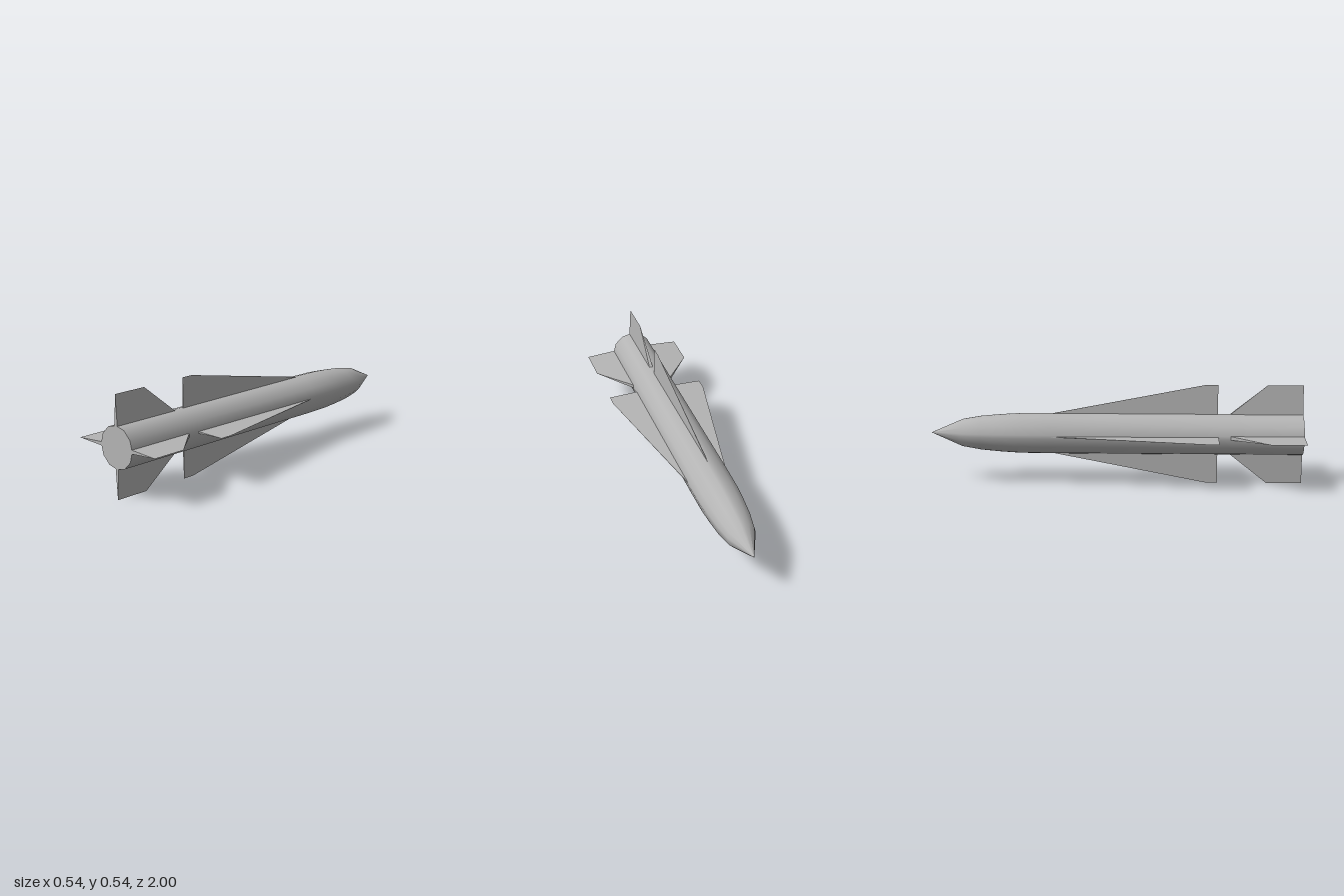
import * as THREE from 'three';

const AXIS_Y = 0.268;

// Cross-section of the body: twelve-sided, with a narrow flat under each fin.
function sectionPoints() {
  const corner = [[-5.2, 0.1095], [5.2, 0.1095], [30, 0.112], [60, 0.112]];
  const points = [];
  for (let quarter = 0; quarter < 4; quarter++) {
    for (const [deg, r] of corner) {
      const a = THREE.MathUtils.degToRad(deg + quarter * 90);
      points.push(new THREE.Vector2(Math.cos(a) * r, Math.sin(a) * r));
    }
  }
  return points;
}

// Loft the section along z, from nose tip to tail.
function bodyGeometry(section) {
  const stations = [
    [-1, 0.004], [-0.83, 0.68], [-0.73, 0.84], [-0.62, 0.93],
    [-0.52, 0.985], [-0.36, 1], [0.55, 1], [1, 1],
  ];
  const n = section.length;
  const positions = [];
  const indices = [];
  stations.forEach(([z, s], i) => {
    section.forEach((p, j) => {
      positions.push(p.x * s, p.y * s, z);
      if (i === stations.length - 1) return;
      const a = i * n + j;
      const b = i * n + (j + 1) % n;
      indices.push(a, b, b + n, a, b + n, a + n);
    });
  });
  const geometry = new THREE.BufferGeometry();
  geometry.setAttribute('position', new THREE.Float32BufferAttribute(positions, 3));
  geometry.setIndex(indices);
  geometry.computeVertexNormals();
  return geometry;
}

// Wedge fin rising along +y: thick at the root, a sharp edge at the tip.
function finGeometry({ root, tip, frontHalf, rearHalf }) {
  const rootR = 0.1;
  const tipR = 0.268;
  const A = [-frontHalf, rootR, root[0]];
  const B = [frontHalf, rootR, root[0]];
  const C = [rearHalf, rootR, root[1]];
  const D = [-rearHalf, rootR, root[1]];
  const T = [0, tipR, tip[0]];
  const U = [0, tipR, tip[1]];
  const faces = [B, T, U, B, U, C, A, U, T, A, D, U, B, A, T, D, C, U];
  const geometry = new THREE.BufferGeometry();
  geometry.setAttribute('position', new THREE.Float32BufferAttribute(faces.flat(), 3));
  geometry.computeVertexNormals();
  return geometry;
}

export function createModel() {
  const model = new THREE.Group();
  model.name = 'missile';
  const grey = new THREE.MeshStandardMaterial({ color: 0xb4b4b4 });
  grey.name = 'grey';

  const add = (parent, name, geometry) => {
    const mesh = new THREE.Mesh(geometry, grey);
    mesh.name = name;
    parent.add(mesh);
    return mesh;
  };

  const airframe = new THREE.Group();
  airframe.name = 'airframe';
  airframe.position.y = AXIS_Y;
  model.add(airframe);

  // Body and flat tail
  const section = sectionPoints();
  add(airframe, 'body', bodyGeometry(section));
  add(airframe, 'tailCap', new THREE.ShapeGeometry(new THREE.Shape(section))).position.z = 1;

  // Four long wings and four tail fins in a cross
  const wing = finGeometry({ root: [-0.39, 0.545], tip: [0.48, 0.545], frontHalf: 0.002, rearHalf: 0.005 });
  const tailFin = finGeometry({ root: [0.6, 1], tip: [0.81, 1], frontHalf: 0.0105, rearHalf: 0.0105 });
  ['top', 'right', 'bottom', 'left'].forEach((side, i) => {
    add(airframe, `${side}Wing`, wing).rotation.z = i * Math.PI / 2;
    add(airframe, `${side}TailFin`, tailFin).rotation.z = i * Math.PI / 2;
  });

  return model;
}
